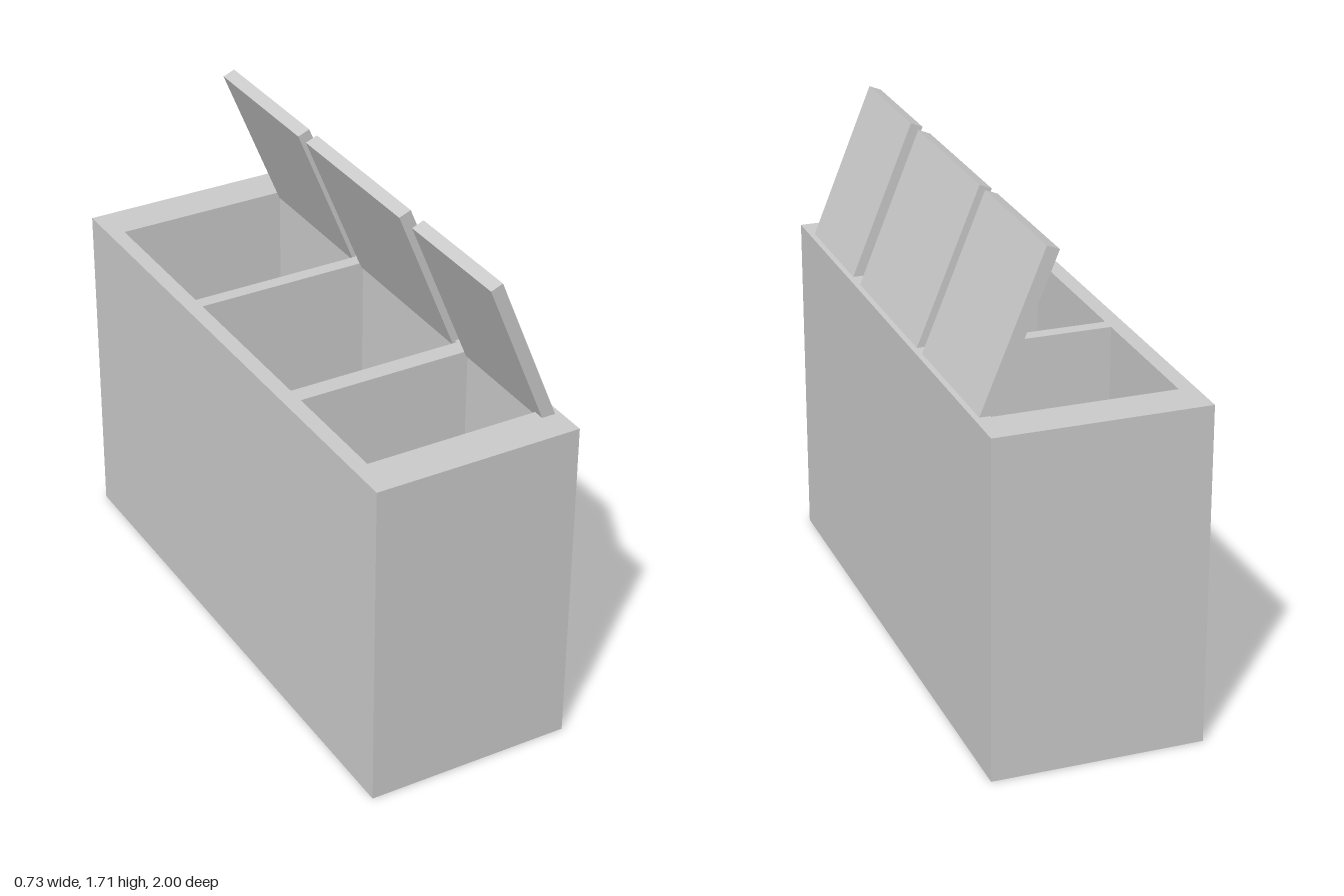
import * as THREE from 'three';

const HALF_X = 0.365, HALF_Z = 1, TOP = 1.187, FLOOR = 0.005;

// Each bay: z range of the opening and z range of its lid
const BAYS = [
  { name: 'back', well: [-0.85, -0.3], lid: [-0.843, -0.305] },
  { name: 'middle', well: [-0.25, 0.365], lid: [-0.253, 0.352] },
  { name: 'front', well: [0.43, 0.85], lid: [0.43, 0.89] },
];

// Corners of a rectangle in plan; shape y is -z
function rectangle(x0, x1, z0, z1) {
  return [[x0, -z1], [x1, -z1], [x1, -z0], [x0, -z0]].map(([x, y]) => new THREE.Vector2(x, y));
}

export function createModel() {
  const model = new THREE.Group();
  model.name = 'threeBayBin';
  const material = new THREE.MeshStandardMaterial({ color: 0xcccccc });

  function add(name, geometry) {
    const mesh = new THREE.Mesh(geometry, material);
    mesh.name = name;
    model.add(mesh);
    return mesh;
  }

  // Walls and dividers: one block pierced by three wells
  const plan = new THREE.Shape(rectangle(-HALF_X, HALF_X, -HALF_Z, HALF_Z));
  for (const { well } of BAYS) plan.holes.push(new THREE.Path(rectangle(-0.31, 0.31, ...well)));
  const walls = new THREE.ExtrudeGeometry(plan, { depth: TOP - FLOOR, bevelEnabled: false });
  walls.rotateX(-Math.PI / 2);
  add('binBody', walls).position.y = FLOOR;

  // Thin base plate closing the wells
  add('basePlate', new THREE.BoxGeometry(HALF_X * 2, FLOOR, HALF_Z * 2)).position.y = FLOOR / 2;

  // Open lids hinged along the +x rim and leaning inward
  for (const { name, lid: [z0, z1] } of BAYS) {
    const panel = new THREE.BoxGeometry(0.045, 0.57, z1 - z0);
    panel.translate(-0.0225, 0.285, 0);
    const lid = add(`${name}Lid`, panel);
    lid.position.set(0.346, TOP, (z0 + z1) / 2);
    lid.rotation.z = 0.388;
  }

  return model;
}
